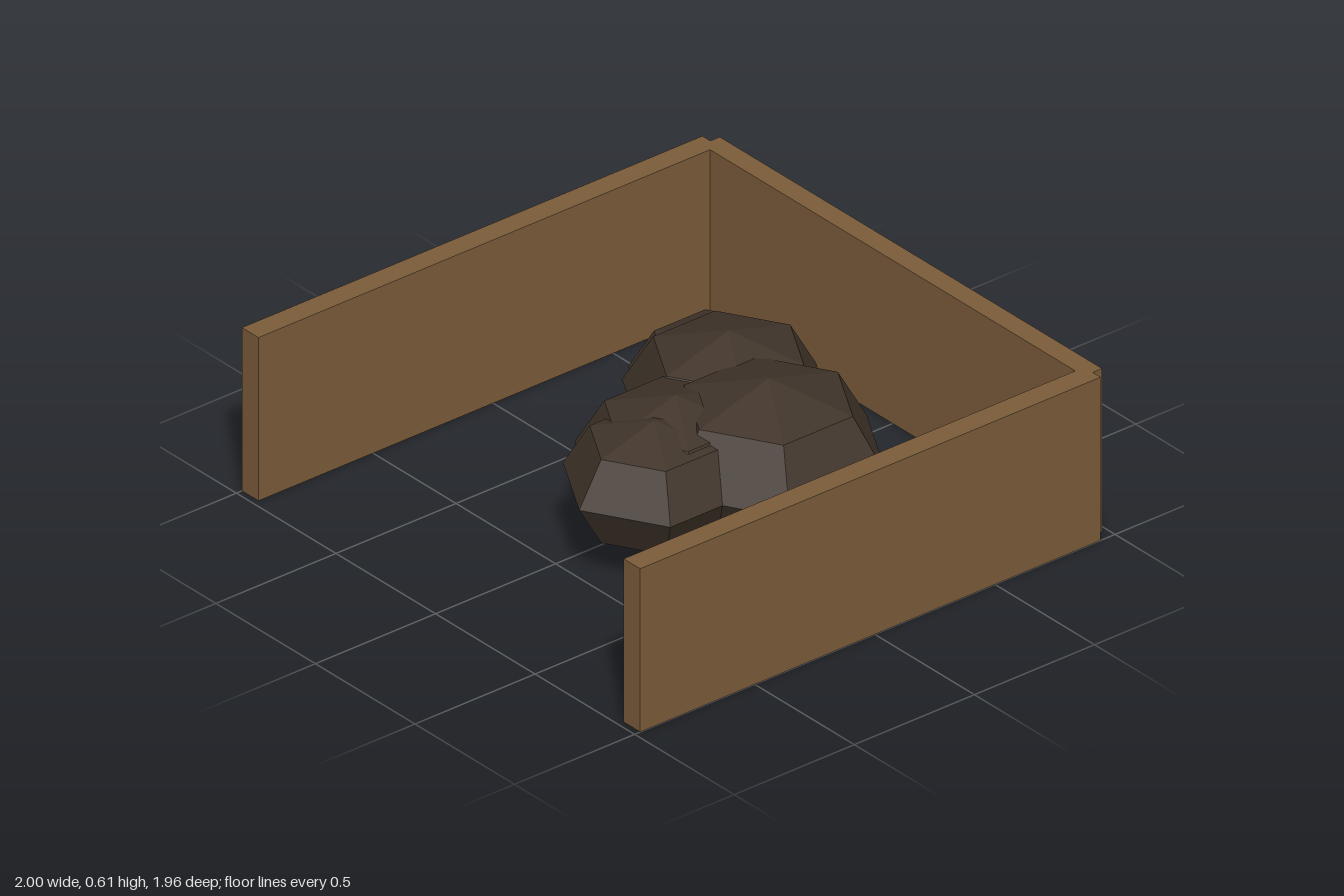
import * as THREE from 'three';

export function createModel() {
  const model = new THREE.Group();
  model.name = 'compostBin';
  const wood = new THREE.MeshStandardMaterial({ color: 0x7a5c3a });
  const soil = new THREE.MeshStandardMaterial({ color: 0x40342a, flatShading: true });

  const height = 0.605;
  function board(name, w, d, x, z) {
    const mesh = new THREE.Mesh(new THREE.BoxGeometry(w, height, d), wood);
    mesh.name = name;
    mesh.position.set(x, height / 2, z);
    model.add(mesh);
  }

  // Three walls, open at the front
  board('backWall', 1.92, 0.076, 0, -0.941);
  board('leftWall', 0.083, 1.917, 0.9585, 0.0185);
  board('rightWall', 0.083, 1.917, -0.9585, 0.0185);

  // Heap of squashed low-poly lumps: [x, z, radius]
  const heap = new THREE.Group();
  heap.name = 'heap';
  const lumps = [
    [0.303, -0.135, 0.408],
    [-0.055, -0.265, 0.364],
    [-0.16, -0.302, 0.302],
    [0.137, 0.114, 0.345],
    [0.187, 0.245, 0.312],
  ];
  lumps.forEach(([x, z, r], i) => {
    const lump = new THREE.Mesh(new THREE.SphereGeometry(r, 6, 4), soil);
    lump.name = `lump${i + 1}`;
    lump.scale.y = 0.7;
    lump.rotation.y = Math.PI / 6;
    lump.position.set(x, height / 2, z);
    heap.add(lump);
  });
  model.add(heap);

  return model;
}
